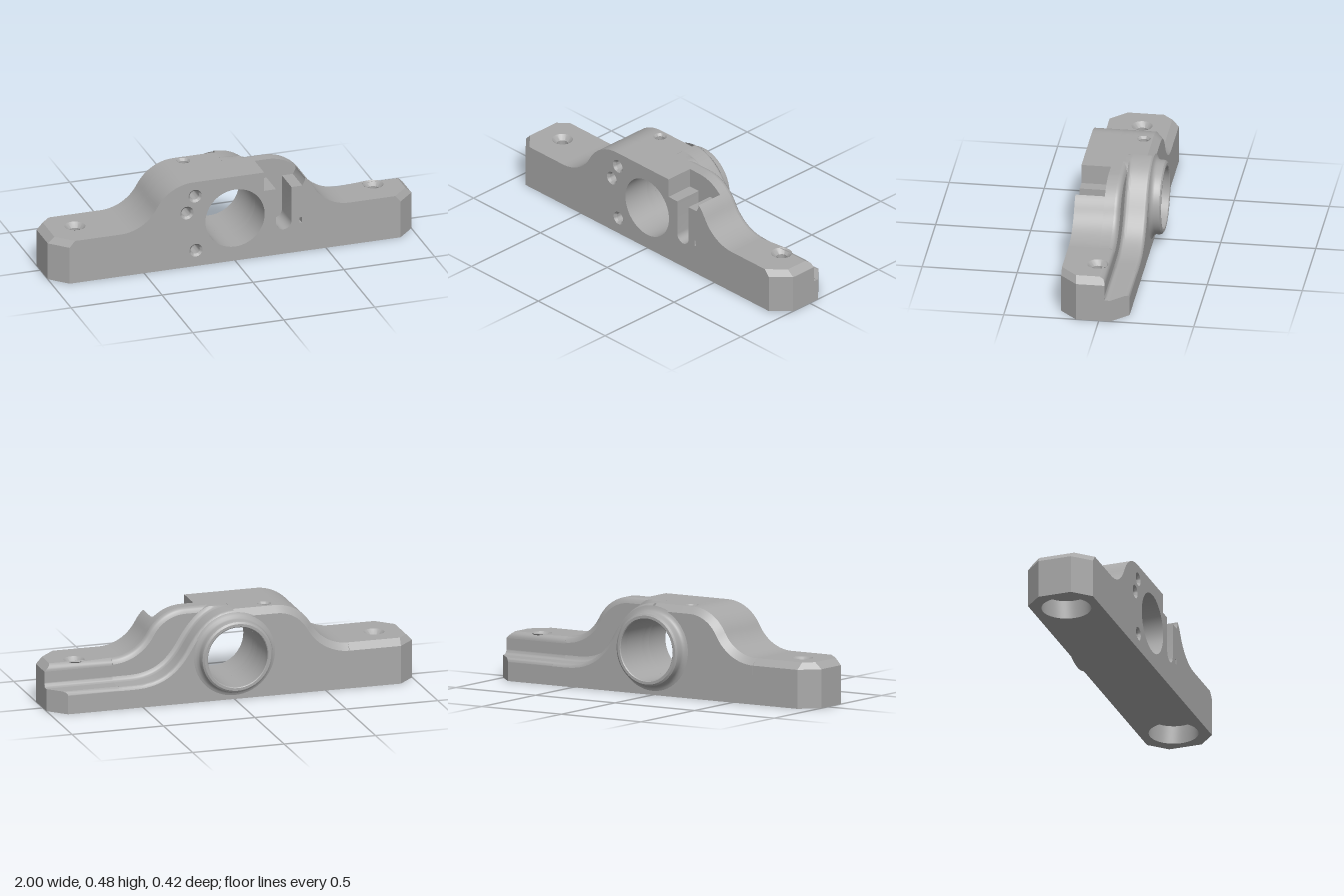
import * as THREE from 'three';
import { toCreasedNormals } from 'three/addons/utils/BufferGeometryUtils.js';

const V2 = (x, y) => new THREE.Vector2(x, y);
const BORE = { y: 0.243, r: 0.163 };

// Points along an arc
function arc(cx, cy, r, a0, a1, n) {
  return Array.from({ length: n + 1 }, (_, i) => {
    const a = a0 + ((a1 - a0) * i) / n;
    return V2(cx + r * Math.cos(a), cy + r * Math.sin(a));
  });
}

// Move each point of an open curve along its normal (positive = outward)
function offset(curve, d) {
  return curve.map((p, i) => {
    const t = V2().subVectors(curve[Math.min(i + 1, curve.length - 1)], curve[Math.max(i - 1, 0)]).normalize();
    return V2(p.x + t.y * d, Math.min(p.y - t.x * d, 0.48));
  });
}

// Walls between closed rings of 3D points
function loft(rings) {
  const n = rings[0].length, index = [];
  for (let k = 0; k < rings.length - 1; k++)
    for (let i = 0; i < n; i++) {
      const j = (i + 1) % n, a = k * n + i, b = k * n + j;
      index.push(a, b, a + n, b, b + n, a + n);
    }
  const g = new THREE.BufferGeometry().setFromPoints(rings.flat());
  g.setIndex(index);
  return g;
}

function circle(x, y, r) {
  return new THREE.Path().absarc(x, y, r, 0, Math.PI * 2, true);
}

function shapeOf(points, holes = []) {
  const s = new THREE.Shape(points);
  s.holes.push(...holes);
  return s;
}

export function createModel() {
  const model = new THREE.Group();
  const grey = new THREE.MeshStandardMaterial({ color: 0xa8a8a8, side: THREE.DoubleSide });
  grey.name = 'machined grey';

  const add = (name, geo) => {
    const m = new THREE.Mesh(toCreasedNormals(geo, 0.6), grey);
    m.name = name;
    model.add(m);
    return m;
  };
  const extrudeZ = (name, shape, z0, z1) => add(name,
    new THREE.ExtrudeGeometry(shape, { depth: z1 - z0, bevelEnabled: false, curveSegments: 24 }).translate(0, 0, z0));
  const extrudeY = (name, shape, y0, y1) => add(name,
    new THREE.ExtrudeGeometry(shape, { depth: y1 - y0, bevelEnabled: false, curveSegments: 24 }).rotateX(Math.PI / 2).translate(0, y1, 0));
  const capY = (name, shape, y) => add(name, new THREE.ShapeGeometry(shape, 24).rotateX(Math.PI / 2).translate(0, y, 0));
  // Countersunk sleeve, opening along +y
  const sleeve = (name, R, r, depth, chamfer, blind) => {
    const pts = [V2(R, 0), V2(r, -chamfer), V2(r, -depth)];
    if (blind) pts.push(V2(0.0001, -depth));
    return add(name, new THREE.LatheGeometry(pts, 28));
  };

  // Half of the hump outline, from the shoulder to the centre line
  const r = 0.226, tilt = 0.487;
  const hump = [
    ...arc(0.63, 0.24 + r, r, Math.PI * 1.5, Math.PI + tilt, 14),
    ...arc(0.23, 0.48 - r, r, tilt, Math.PI / 2, 14),
    V2(0.15, 0.48), V2(0, 0.48),
  ];
  const mirror = (pts) => pts.map((p) => V2(-p.x, p.y));

  // Front layer with bore, screw holes, notch and slot
  const screws = [[-0.22, 0.4], [-0.265, 0.31], [-0.215, 0.09]];
  const notch = [
    V2(0.385, 0.418), V2(0.385, 0.405), V2(0.37, 0.375), V2(0.31, 0.375),
    ...arc(0.2675, 0.182, 0.0425, 0, -Math.PI, 12),
    V2(0.225, 0.375), V2(0.16, 0.375), V2(0.16, 0.48),
  ];
  const leftHump = mirror(hump).reverse();
  const base = [V2(-0.63, 0), V2(0.63, 0)];
  const pin = new THREE.Path([V2(0.353, 0.165), V2(0.353, 0.195), V2(0.367, 0.195), V2(0.367, 0.165)]);
  const bore = () => circle(0, BORE.y, BORE.r);
  extrudeZ('frontLayer', shapeOf([...base, ...hump.filter((p) => p.x > 0.386), ...notch, ...leftHump],
    [bore(), pin, ...screws.map(([x, y]) => circle(x, y, 0.036))]), 0.055, 0.21);
  extrudeZ('middleLayer', shapeOf([...base, ...hump.slice(0, -1), ...leftHump], [bore()]), 0, 0.055);
  for (const [x, y] of screws) {
    const s = sleeve('frontScrewHole', 0.036, 0.025, 0.12, 0.012, true);
    s.rotation.x = Math.PI / 2;
    s.position.set(x, y, 0.21);
  }

  // Half cross-section around the bore, stacked along z and closed at the back
  const half = (side, curve) => [V2(0, 0), V2(0.63, 0), ...curve,
    ...arc(0, BORE.y, BORE.r, Math.PI / 2, -Math.PI / 2, 28)].map((p) => V2(p.x * side, p.y));
  const stack = (name, side, levels) => {
    const rings = levels.map(([z, c]) => half(side, c).map((p) => new THREE.Vector3(p.x, p.y, z)));
    add(name, loft(rings));
    for (const [z, c] of [levels[0], levels[levels.length - 1]])
      add(name + 'Face', new THREE.ShapeGeometry(shapeOf(half(side, c))).translate(0, 0, z));
  };

  // Right half of the back: full outline, pocket for the oil hole, chamfered rear edge
  const pocket = [...hump.slice(0, -2), V2(0.228, 0.48), V2(0.228, 0.42), V2(0.152, 0.42), V2(0.152, 0.48), V2(0, 0.48)];
  stack('backRight', -1, [[0, hump], [-0.025, hump]]);
  stack('backRightPocket', -1, [[-0.025, pocket], [-0.11, pocket]]);
  stack('backRightChamfer', -1, [[-0.11, hump], [-0.115, hump], [-0.15, offset(hump, -0.035)]]);
  extrudeY('topHolePlate', shapeOf([V2(-0.228, -0.11), V2(-0.152, -0.11), V2(-0.152, -0.025), V2(-0.228, -0.025)],
    [circle(-0.19, -0.0675, 0.035)]), 0.42, 0.48);
  sleeve('topHole', 0.035, 0.024, 0.059, 0.012, true).position.set(-0.19, 0.48, -0.0675);

  // Left half of the back: rounded wall, then a low shelf that sweeps up to the boss
  const steps = [0, 0.25, 0.5, 0.75, 1];
  const drop = (t, R) => R * (1 - Math.sqrt(1 - t * t));
  stack('backLeftWall', 1, steps.map((t) => [-0.03 * t, offset(hump, -drop(t, 0.03))]));
  const shelf = [V2(0.63, 0.12),
    ...new THREE.CubicBezierCurve(V2(0.55, 0.12), V2(0.4, 0.12), V2(0.32, 0.18), V2(0.25, 0.3)).getPoints(14),
    ...new THREE.CubicBezierCurve(V2(0.25, 0.3), V2(0.19, 0.4), V2(0.12, 0.48), V2(0, 0.48)).getPoints(14).slice(1)];
  stack('backLeftShelf', 1, [
    [0, offset(shelf, 0.025)],
    ...steps.map((t) => [-0.055 + 0.025 * (1 - t), offset(shelf, drop(1 - t, 0.025))]),
    ...steps.map((t) => [-0.13 - 0.02 * t, offset(shelf, -drop(t, 0.02))]),
  ]);

  // Boss around the bore at the back
  add('bearingBoss', new THREE.LatheGeometry([
    V2(0.228, -0.148), V2(0.212, -0.153), V2(0.2, -0.161), V2(0.195, -0.173), V2(0.195, -0.192),
    V2(0.191, -0.203), V2(0.181, -0.21), V2(BORE.r + 0.004, -0.21), V2(BORE.r, -0.206), V2(BORE.r, -0.15),
  ], 56).rotateX(Math.PI / 2).translate(0, BORE.y, 0));

  // Plan outline of a mounting foot; e insets the end, b insets the back
  const plan = (side, zf, zb, e = 0, b = 0) => {
    const z = zb + b, x = 1 - e;
    const pts = [V2(0.63, zf), V2(Math.min(x, 1.12 - 0.85 * e - zf), zf)];
    if (zf > 0.12) pts.push(V2(x, 0.12 + 0.15 * e));
    if (z < -0.06) pts.push(V2(x, -0.06 - 0.15 * e));
    pts.push(V2(Math.min(x, 1.06 + z - 0.85 * e), z), V2(0.63, z));
    return pts.map((p) => V2(p.x * side, p.y));
  };
  const ring = (pts, y) => pts.map((p) => new THREE.Vector3(p.x, y, p.y));

  for (const side of [1, -1]) {
    const cx = 0.82 * side, cz = 0.03, zb = side > 0 ? -0.03 : -0.15;
    extrudeY('footBase', shapeOf(plan(side, 0.21, -0.15), [circle(cx, cz, 0.13)]), 0, 0.1);
    extrudeY('footBody', shapeOf(plan(side, 0.21, zb), [circle(cx, cz, 0.03)]), 0.1, 0.205);
    // Bevelled top edge
    const top = (t) => plan(side, 0.21, zb, 0.035 * t, side > 0 ? drop(t, 0.03) : 0.035 * t);
    add('footBevel', loft(steps.map((t) => ring(top(t), 0.205 + 0.035 * t))));
    capY('footTop', shapeOf(top(1), [circle(cx, cz, 0.055)]), 0.24);
    sleeve('mountingHole', 0.055, 0.03, 0.14, 0.025, false).position.set(cx, 0.24, cz);
  }

  // Low shelf continued along the left foot, with its fillet
  const step = (t) => plan(1, -0.03, -0.15, 0, drop(t, 0.02));
  add('footShelfEdge', loft(steps.map((t) => ring(step(t), 0.1 + 0.02 * t))));
  capY('footShelfTop', shapeOf(step(1)), 0.12);
  const fillet = [...arc(-0.055, 0.145, 0.025, 0, -Math.PI / 2, 6), V2(-0.03, 0.12)];
  add('footShelfFillet', loft([0.63, 1].map((x) => fillet.map((p) => new THREE.Vector3(x, p.y, p.x)))));

  return model;
}
